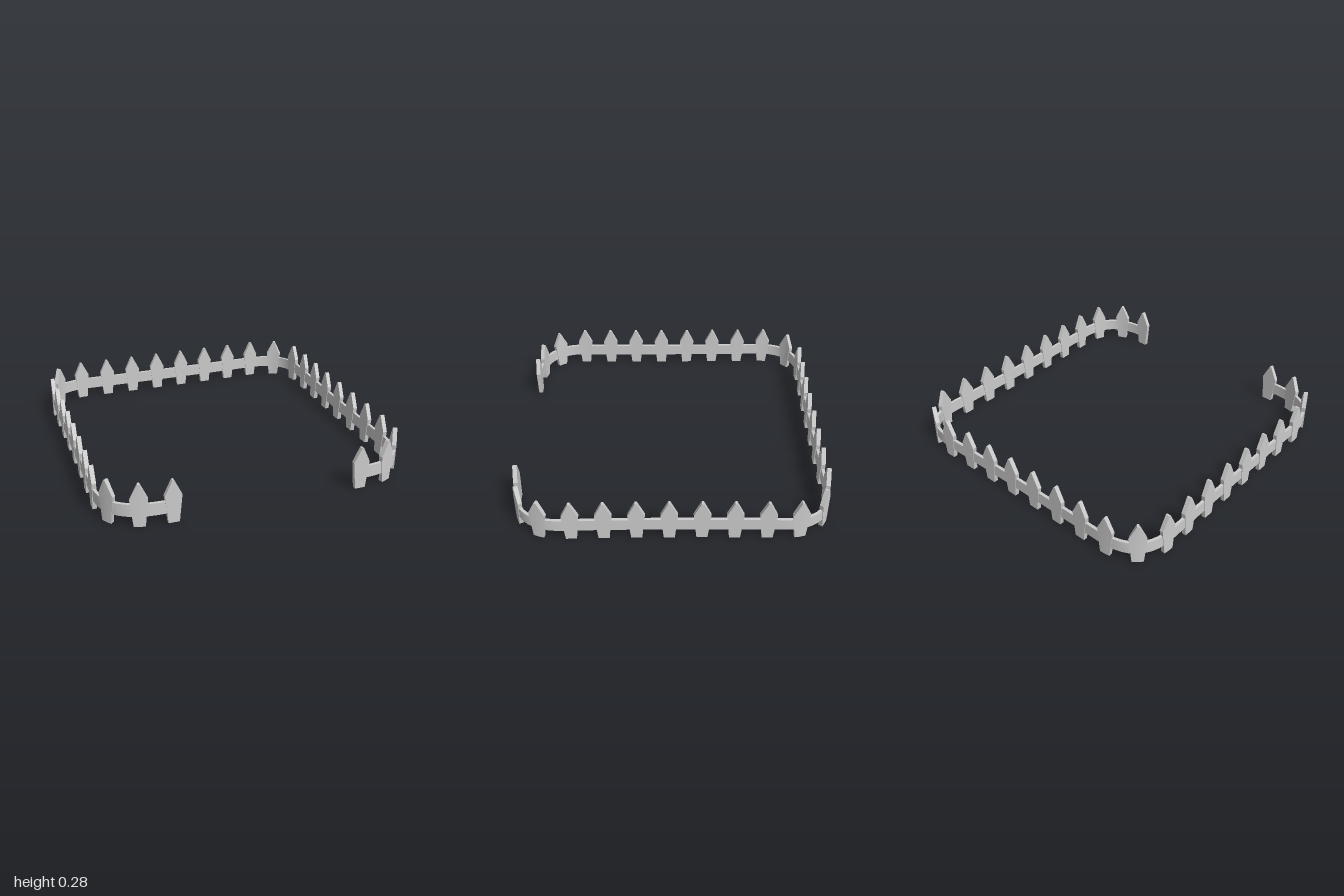
import * as THREE from 'three';
import { toCreasedNormals } from 'three/addons/utils/BufferGeometryUtils.js';

const material = new THREE.MeshStandardMaterial({ color: 0xcccccc });

// Plan of the fence in (x, z): rounded corners, slightly bowed sides, gap at the front
const R = 0.985;
const plan = new THREE.Path();
plan.moveTo(-0.525, R);
plan.lineTo(-0.63, R);
plan.quadraticCurveTo(-R, R, -R, 0.68);
plan.quadraticCurveTo(-0.975, 0, -R, -0.7);
plan.quadraticCurveTo(-R, -0.988, -0.68, -0.988);
plan.quadraticCurveTo(0, -0.974, 0.68, -0.988);
plan.quadraticCurveTo(R, -0.988, R, -0.7);
plan.quadraticCurveTo(0.968, 0, R, 0.68);
plan.quadraticCurveTo(R, R, 0.65, R);
plan.lineTo(0.58, R);
const length = plan.getLength();

// Point at distance s along the plan, height y, offset n outwards
function along(s, y, n) {
  const t = s / length;
  const p = plan.getPoint(t);
  const d = plan.getTangent(t);
  return [p.x + d.y * n, y, p.y - d.x * n];
}

// Closed solid through a series of cross-section rings
function loft(rings) {
  const n = rings[0].length;
  const index = [];
  const quad = (a, b, c, d) => index.push(a, b, c, a, c, d);
  for (let r = 0; r < rings.length - 1; r++) {
    for (let i = 0; i < n; i++) {
      const j = (i + 1) % n;
      quad(r * n + i, r * n + j, (r + 1) * n + j, (r + 1) * n + i);
    }
  }
  const top = (rings.length - 1) * n;
  for (let i = 0; i < n / 2 - 1; i++) {
    quad(top + i, top + i + 1, top + n - 2 - i, top + n - 1 - i);
    quad(n - 1 - i, n - 2 - i, i + 1, i);
  }
  const geometry = new THREE.BufferGeometry();
  geometry.setAttribute('position', new THREE.Float32BufferAttribute(rings.flat(2), 3));
  geometry.setIndex(index);
  return toCreasedNormals(geometry, 0.5);
}

function addMesh(group, name, geometry) {
  const mesh = new THREE.Mesh(geometry, material);
  mesh.name = name;
  group.add(mesh);
}

export function createModel() {
  const fence = new THREE.Group();
  fence.name = 'picketFence';

  // Rail following the whole plan
  const steps = 140;
  const railRings = [];
  for (let i = 0; i <= steps; i++) {
    const s = length - 0.02 - (i / steps) * (length - 0.04);
    railRings.push([[0.065, -0.01], [0.145, -0.01], [0.145, 0.01], [0.065, 0.01]]
      .map(([y, n]) => along(s, y, n)));
  }
  addMesh(fence, 'rail', loft(railRings));

  // Pointed pickets, tapered to the foot and bent with the plan: [height, half width]
  const profile = [[0, 0.034], [0.18, 0.053], [0.278, 0.006]];
  const half = 0.014;
  const count = 32;
  const pickets = new THREE.Group();
  pickets.name = 'pickets';
  for (let i = 0; i < count; i++) {
    const s = 0.053 + (i / (count - 1)) * (length - 0.106);
    const rings = profile.map(([y, w]) => [
      [w, half], [0, half], [-w, half], [-w, -half], [0, -half], [w, -half],
    ].map(([u, n]) => along(s + u, y, n)));
    addMesh(pickets, 'picket', loft(rings));
  }
  fence.add(pickets);

  return fence;
}
